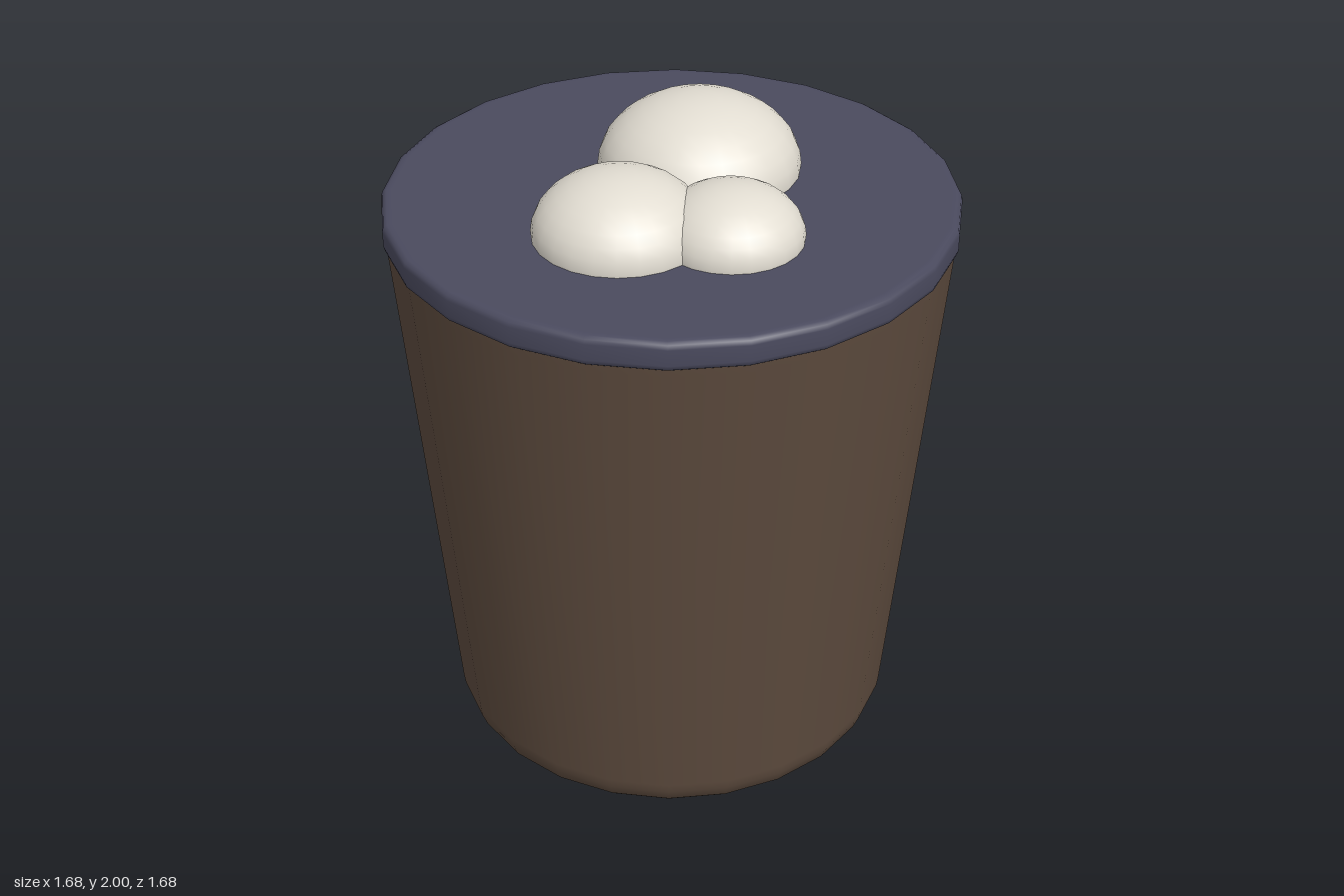
import * as THREE from 'three';

const SIDES = 24;

function material(name, color) {
  const m = new THREE.MeshStandardMaterial({ color });
  m.name = name;
  return m;
}

// Revolved part from [radius, height] pairs, listed bottom to top
function turned(name, profile, mat) {
  const points = profile.map(([r, y]) => new THREE.Vector2(r, y));
  const mesh = new THREE.Mesh(new THREE.LatheGeometry(points, SIDES), mat);
  mesh.name = name;
  return mesh;
}

export function createModel() {
  const brown = material('brown', 0x5c4a3d);
  const slate = material('slate', 0x4a4a5e);
  const cream = material('cream', 0xe2ddd2);

  const model = new THREE.Group();
  model.name = 'filledCup';

  // Tapered cup with a rounded foot
  model.add(turned('cup', [
    [0, 0], [0.59, 0], [0.605, 0], [0.645, 0.014], [0.672, 0.04],
    [0.688, 0.08], [0.692, 0.11], [0.828, 1.67], [0.83, 1.7],
  ], brown));

  // Flat top with a softly rounded rim
  model.add(turned('rimAndFilling', [
    [0.8, 1.69], [0.825, 1.69], [0.836, 1.698], [0.84, 1.712], [0.84, 1.76],
    [0.836, 1.773], [0.825, 1.78], [0.81, 1.78], [0, 1.78],
  ], slate));

  // Flattened foam bubbles resting half-sunk in the top
  const foam = new THREE.Group();
  foam.name = 'foam';
  for (const [x, z, r] of [[0.15, -0.1, 0.3], [-0.25, 0.15, 0.25], [0.01, 0.32, 0.21]]) {
    const bubble = new THREE.Mesh(new THREE.SphereGeometry(r, 24, 16), cream);
    bubble.name = 'foamBubble';
    bubble.scale.y = 0.7;
    bubble.position.set(x, 1.79, z);
    foam.add(bubble);
  }
  model.add(foam);

  return model;
}
